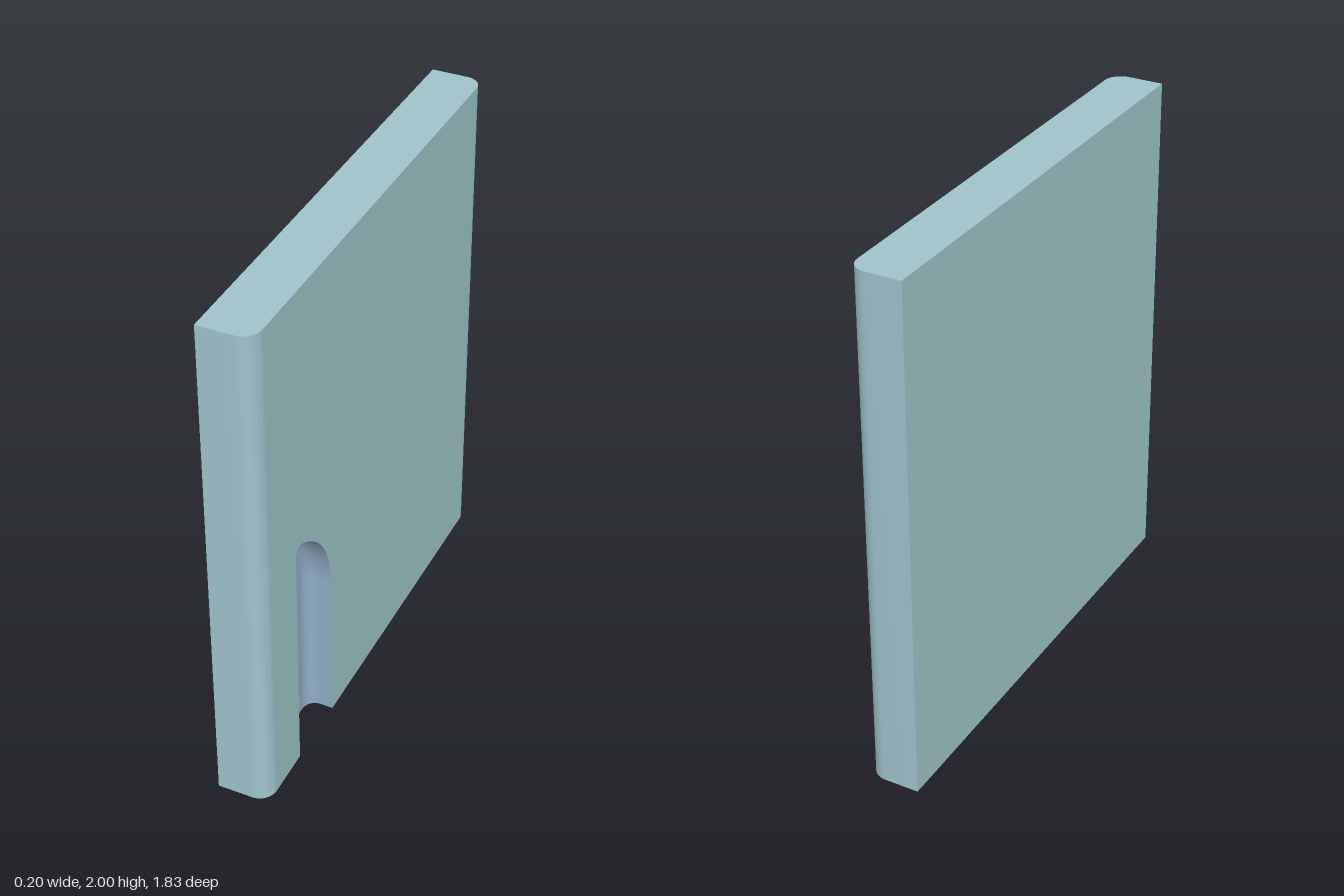
import * as THREE from 'three';
import { toCreasedNormals } from 'three/addons/utils/BufferGeometryUtils.js';

const H = 2, T = 0.1, D = 0.915, R = 0.065;      // panel height, half thickness, half depth, edge radius
const Z0 = 0.385, Z1 = 0.66, LIP = 0.05;         // recess opening and the x where its lip / fillet starts
const POCKET_Z = 0.8, POCKET_Y = 0.8;            // hidden pocket behind the lip
const V = (x, y, z) => new THREE.Vector3(x, y, z);

// Points of an arc, angles in radians
function arc(cx, cy, r, a0, a1, n) {
  return Array.from({ length: n + 1 }, (_, i) => {
    const a = a0 + (a1 - a0) * i / n;
    return [cx + r * Math.cos(a), cy + r * Math.sin(a)];
  });
}

// Surface through rows of points; faces along x across
function loft(rows) {
  const n = rows[0].length, index = [];
  for (let i = 0; i < rows.length - 1; i++) {
    for (let j = 0; j < n - 1; j++) {
      const a = i * n + j, b = a + 1, c = a + n, d = c + 1;
      index.push(a, b, c, b, d, c);
    }
  }
  const g = new THREE.BufferGeometry().setFromPoints(rows.flat());
  g.setIndex(index);
  return toCreasedNormals(g, 0.6);
}

// Vertical wall over a path of [x, z]
const wall = (path, y0, y1) => loft([y0, y1].map(y => path.map(([x, z]) => V(x, y, z))));

const flat = pts => new THREE.ShapeGeometry(new THREE.Shape(pts.map(([u, v]) => new THREE.Vector2(u, v))));
const faceUp = (pts, y) => flat(pts.map(([x, z]) => [x, -z])).rotateX(-Math.PI / 2).translate(0, y, 0);
const faceDown = (pts, y) => flat(pts).rotateX(Math.PI / 2).translate(0, y, 0);
const faceRight = (pts, x) => flat(pts.map(([z, y]) => [-z, y])).rotateY(Math.PI / 2).translate(x, 0, 0);

export function createModel() {
  const model = new THREE.Group();
  const bodyMat = new THREE.MeshStandardMaterial({ color: 0x9fc5ca, side: THREE.DoubleSide });
  const recessMat = new THREE.MeshStandardMaterial({ color: 0x8fafc4, side: THREE.DoubleSide });
  const add = (name, geometry, material) => {
    const mesh = new THREE.Mesh(geometry, material);
    mesh.name = name;
    model.add(mesh);
  };

  // Plan outline of the panel, two rounded vertical edges on +x
  const backEdge = arc(T - R, -D + R, R, 0, -Math.PI / 2, 10);
  const frontEdge = arc(T - R, D - R, R, Math.PI / 2, 0, 10);
  const outline = [...backEdge, [-T, -D], [-T, D], ...frontEdge];

  // Opening rim: straight side, big arc, small rounded tip; [z, y, inward z, inward y, fillet width]
  const big = { z: Z0 + 0.4, y: 0.615, r: 0.4 }, tipR = 0.035, tipZ = Z1 - tipR;
  const tipY = big.y + Math.sqrt((big.r - tipR) ** 2 - (big.z - tipZ) ** 2);
  const tipA = Math.atan2(tipY - big.y, tipZ - big.z);
  const rim = [[Z0, 0, 1, 0, LIP]];
  arc(big.z, big.y, big.r, Math.PI, tipA, 24).forEach(([z, y], i) => {
    const w = LIP + (tipR - LIP) * Math.max(0, (i - 16) / 8);
    rim.push([z, y, (big.z - z) / big.r, (big.y - y) / big.r, w]);
  });
  arc(tipZ, tipY, tipR, tipA, 0, 10).slice(1).forEach(([z, y], i) => {
    rim.push([z, y, (tipZ - z) / tipR, (tipY - y) / tipR, tipR * (1 - (i + 1) / 10)]);
  });
  const rimEdge = rim.map(([z, y]) => [z, y]);

  // Panel surfaces
  add('panelSides', wall(outline, 0, H), bodyMat);
  add('panelTop', faceUp(outline, H), bodyMat);
  add('panelFace', faceRight([[-D + R, 0], ...rimEdge, [Z1, 0], [D - R, 0], [D - R, H], [-D + R, H]], T), bodyMat);

  // Pocket cross-section in plan, rounded at its closed end
  const pr = LIP / 2;
  const pocket = [[LIP, Z1], ...arc(pr, POCKET_Z - pr, pr, 0, Math.PI, 12), [0, Z1]];

  // Underside with the recess and pocket cut out
  const fillet = arc(LIP, Z0 + LIP, LIP, -Math.PI / 2, -Math.PI, 8);
  add('panelBottom', faceDown([
    ...outline.slice(11, 13), ...frontEdge, [T, Z1],
    ...pocket, ...fillet.slice().reverse(), [T, Z0], ...backEdge,
  ], 0), bodyMat);

  // Recess wall: straight rim, then a fillet down to the floor
  const profile = [[T, 0], ...arc(0, 0, 1, 0, Math.PI / 2, 8).map(([c, s]) => [LIP * (1 - s), 1 - c])];
  const rows = profile.map(([x, k]) => rim.map(([z, y, nz, ny, w]) => V(x, y + ny * w * k, z + nz * w * k)));
  add('recessWall', loft(rows), recessMat);
  add('recessFloor', faceRight([...rows[rows.length - 1].map(p => [p.z, p.y]), [Z1, 0]], 0), recessMat);

  // Front side of the recess: full depth above the pocket, thin lip below
  add('recessFrontWall', loft([T, 0].map(x => [V(x, tipY, Z1), V(x, POCKET_Y, Z1)])), recessMat);
  add('recessLip', loft([T, LIP].map(x => [V(x, POCKET_Y, Z1), V(x, 0, Z1)])), recessMat);

  // Pocket behind the lip
  add('pocketWall', wall(pocket, 0, POCKET_Y), recessMat);
  add('pocketCeiling', faceDown(pocket, POCKET_Y), recessMat);
  return model;
}
